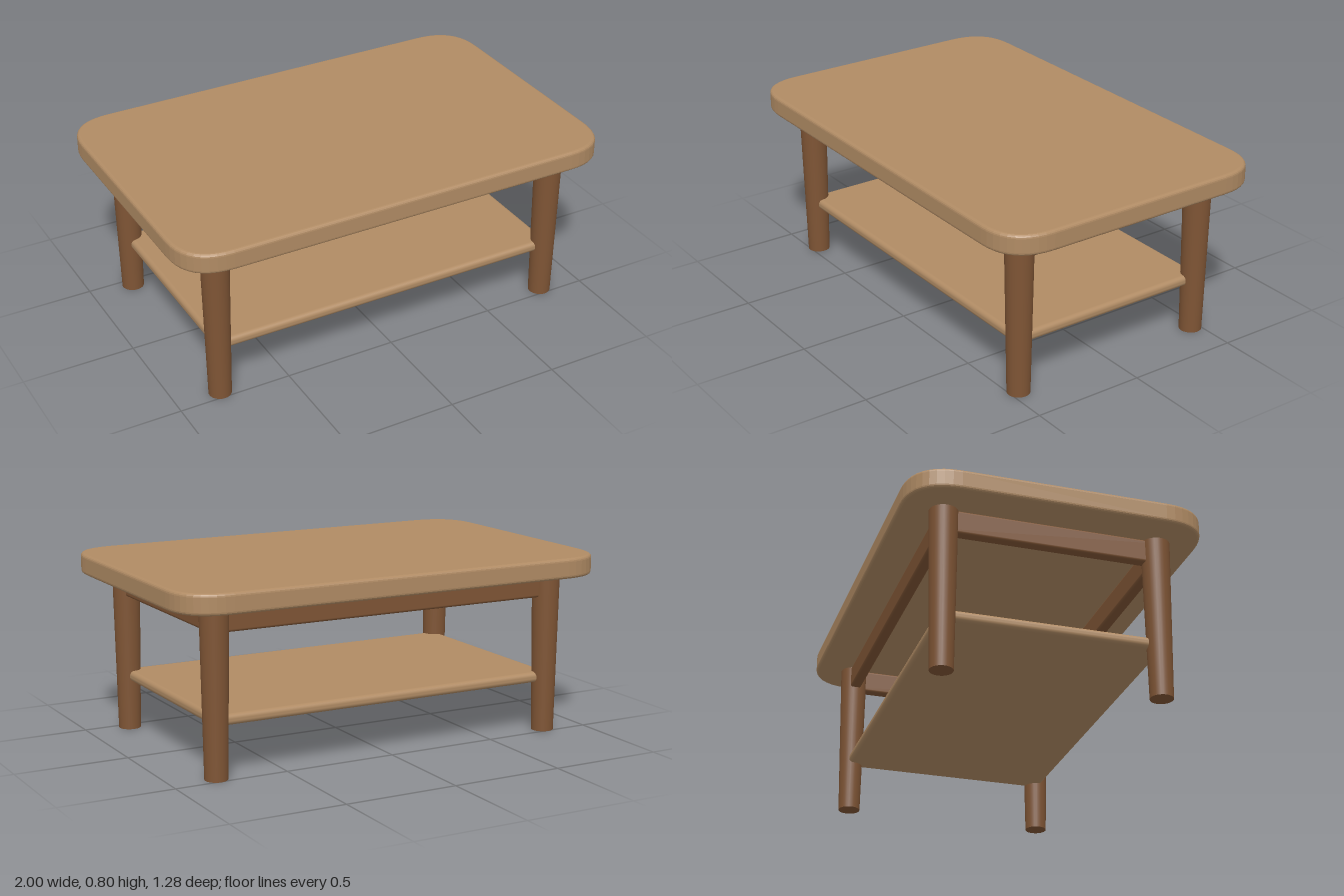
import * as THREE from 'three';
import { RoundedBoxGeometry } from 'three/addons/geometries/RoundedBoxGeometry.js';

const lightWood = new THREE.MeshStandardMaterial({ name: 'lightWood', color: 0xb08b64 });
const darkWood = new THREE.MeshStandardMaterial({ name: 'darkWood', color: 0x7f5535 });

const LEG_X = 0.803, LEG_Z = 0.46;
const TOP_BOTTOM = 0.71, TOP_THICK = 0.09;

function addMesh(group, name, geometry, material, x, y, z) {
  const mesh = new THREE.Mesh(geometry, material);
  mesh.name = name;
  mesh.position.set(x, y, z);
  group.add(mesh);
}

// Rectangle with softly curved corners, half sizes w and d
function softRectangle(w, d, r) {
  const s = new THREE.Shape();
  s.moveTo(-w + r, -d);
  s.lineTo(w - r, -d);
  s.quadraticCurveTo(w, -d, w, -d + r);
  s.lineTo(w, d - r);
  s.quadraticCurveTo(w, d, w - r, d);
  s.lineTo(-w + r, d);
  s.quadraticCurveTo(-w, d, -w, d - r);
  s.lineTo(-w, -d + r);
  s.quadraticCurveTo(-w, -d, -w + r, -d);
  return s;
}

export function createModel() {
  const table = new THREE.Group();
  table.name = 'coffeeTable';

  // Table top with eased edges
  const bevel = 0.015;
  const topGeometry = new THREE.ExtrudeGeometry(softRectangle(1 - bevel, 0.64 - bevel, 0.19), {
    depth: TOP_THICK - 2 * bevel,
    bevelEnabled: true,
    bevelThickness: bevel,
    bevelSize: bevel,
    bevelSegments: 4,
    curveSegments: 10,
  });
  topGeometry.rotateX(-Math.PI / 2);
  addMesh(table, 'tableTop', topGeometry, lightWood, 0, TOP_BOTTOM + bevel, 0);

  // Tapered round legs
  const legGeometry = new THREE.CylinderGeometry(0.061, 0.049, TOP_BOTTOM, 28);
  for (const sx of [-1, 1]) {
    for (const sz of [-1, 1]) {
      const name = (sz > 0 ? 'front' : 'back') + (sx > 0 ? 'Left' : 'Right') + 'Leg';
      addMesh(table, name, legGeometry, darkWood, sx * LEG_X, TOP_BOTTOM / 2, sz * LEG_Z);
    }
  }

  // Aprons joining the legs under the top
  const longApron = new RoundedBoxGeometry(2 * LEG_X, 0.105, 0.05, 3, 0.012);
  const shortApron = new RoundedBoxGeometry(0.05, 0.105, 2 * LEG_Z, 3, 0.012);
  for (const s of [-1, 1]) {
    addMesh(table, s > 0 ? 'frontApron' : 'backApron', longApron, darkWood, 0, 0.66, s * LEG_Z);
    addMesh(table, s > 0 ? 'leftApron' : 'rightApron', shortApron, darkWood, s * LEG_X, 0.66, 0);
  }

  // Lower shelf
  addMesh(table, 'shelf', new RoundedBoxGeometry(1.634, 0.047, 0.956, 4, 0.02), lightWood, 0, 0.2445, 0);

  return table;
}
